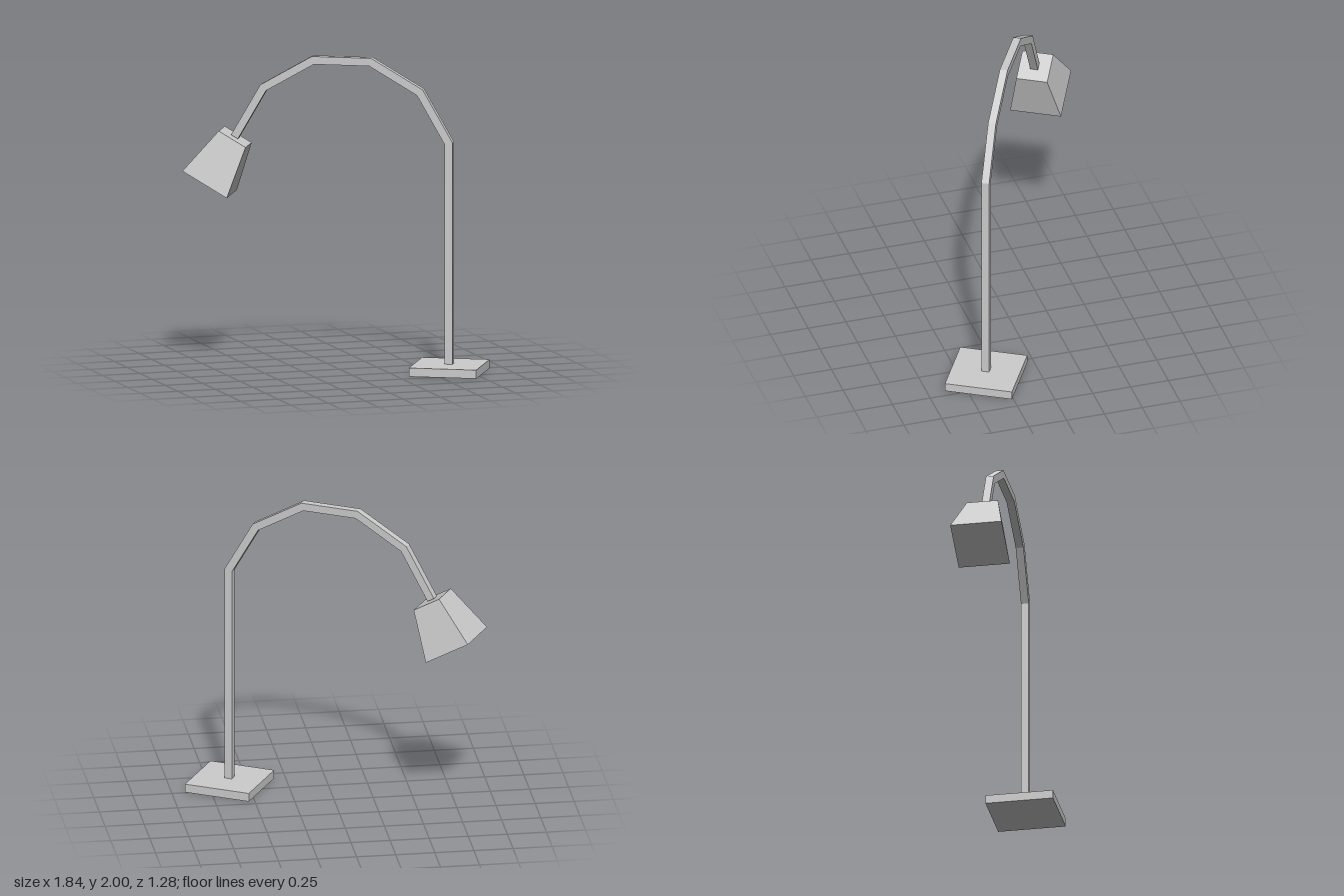
import * as THREE from 'three';

export function createModel() {
  const grey = new THREE.MeshStandardMaterial({ color: 0xcccccc, flatShading: true });
  grey.name = 'light grey metal';

  const model = new THREE.Group();
  model.name = 'archLamp';

  // The lamp lies in one upright plane, turned 30 degrees about y
  const lamp = new THREE.Group();
  lamp.name = 'lamp';
  lamp.rotation.y = -Math.PI / 6;
  lamp.position.set(0.008, 0, -0.013);
  model.add(lamp);

  const add = (name, geometry, parent = lamp) => {
    const mesh = new THREE.Mesh(geometry, grey);
    mesh.name = name;
    parent.add(mesh);
    return mesh;
  };

  const thick = 0.05, seg = 0.37, baseHeight = 0.055, postX = 0.705;

  // Centreline: the post, then five equal segments each bent by 30 degrees
  const path = [new THREE.Vector2(postX, baseHeight), new THREE.Vector2(postX, 1.47)];
  for (let i = 0; i < 5; i++) {
    const a = THREE.MathUtils.degToRad(120 + 30 * i);
    const p = path[path.length - 1];
    path.push(new THREE.Vector2(p.x + seg * Math.cos(a), p.y + seg * Math.sin(a)));
  }

  // Mitred outline on both sides of the centreline
  const outer = [], inner = [];
  path.forEach((p, i) => {
    const before = p.clone().sub(path[Math.max(i - 1, 0)]).normalize();
    const after = path[Math.min(i + 1, path.length - 1)].clone().sub(p).normalize();
    const dir = before.clone().add(after).normalize();
    const ref = i === 0 ? after : before;
    const reach = thick / 2 / dir.dot(ref);
    const normal = new THREE.Vector2(dir.y, -dir.x).multiplyScalar(reach);
    outer.push(p.clone().add(normal));
    inner.push(p.clone().sub(normal));
  });
  const outline = new THREE.Shape([...outer, ...inner.reverse()]);
  const arm = new THREE.ExtrudeGeometry(outline, { depth: thick, bevelEnabled: false });
  arm.translate(0, 0, -thick / 2);
  add('postAndArm', arm);

  // Square foot plate
  add('base', new THREE.BoxGeometry(0.435, baseHeight, 0.435)).position.set(postX, baseHeight / 2, 0);

  // Closed square shade, tapering up to the end of the arm
  const end = path[path.length - 1];
  const height = 0.33;
  const shade = new THREE.CylinderGeometry(0.1 * Math.SQRT2, 0.165 * Math.SQRT2, height, 4);
  shade.rotateY(Math.PI / 4);
  shade.translate(0, -height / 2, 0);
  const head = add('shade', shade);
  head.position.set(end.x, end.y - 0.004, 0);
  head.rotation.z = -Math.PI / 6;

  return model;
}
